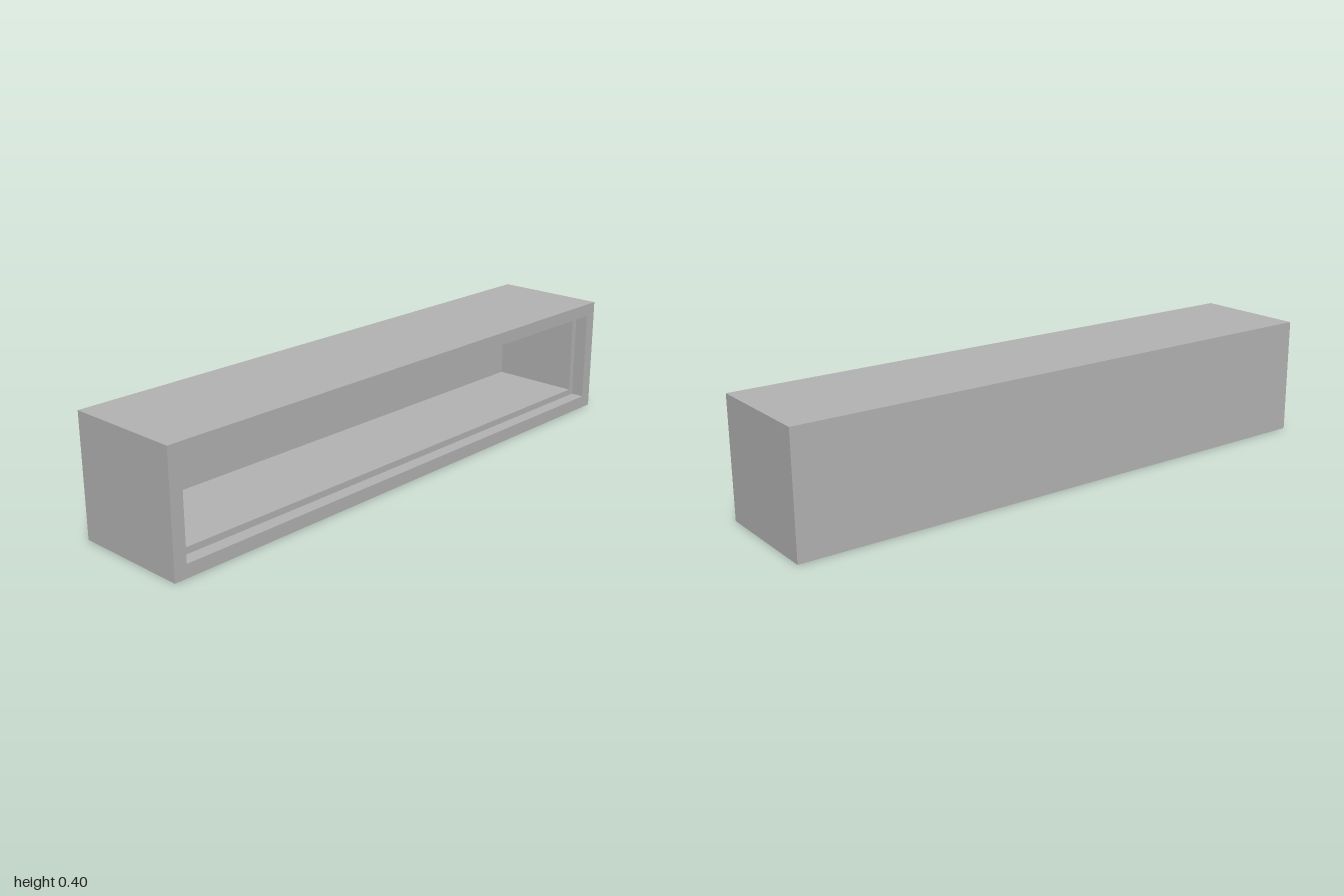
import * as THREE from 'three';

const WIDTH = 2, HEIGHT = 0.404, DEPTH = 0.402;

// Rectangle outline around the middle of the front, inset from the outer edge
function outline(path, insetX, insetY) {
  const x = WIDTH / 2 - insetX, y = HEIGHT / 2 - insetY;
  path.moveTo(-x, -y);
  path.lineTo(x, -y);
  path.lineTo(x, y);
  path.lineTo(-x, y);
  path.closePath();
  return path;
}

// Rectangular ring running from zBack to zFront
function ring(name, insetX, insetY, zBack, zFront, material) {
  const shape = outline(new THREE.Shape(), 0, 0);
  shape.holes.push(outline(new THREE.Path(), insetX, insetY));
  const geometry = new THREE.ExtrudeGeometry(shape, { depth: zFront - zBack, bevelEnabled: false });
  geometry.translate(0, HEIGHT / 2, zBack);
  const mesh = new THREE.Mesh(geometry, material);
  mesh.name = name;
  return mesh;
}

export function createModel() {
  const grey = new THREE.MeshStandardMaterial({ color: 0xb3b3b3 });
  grey.name = 'grey';

  const front = DEPTH / 2, back = -DEPTH / 2;
  const step = front - 0.046;      // where the front recess narrows
  const floor = back + 0.036;      // rear of the cavity

  const group = new THREE.Group();
  group.name = 'openFrontedBox';

  // Front rim with the wider opening, then the thicker casing walls
  group.add(ring('frontRim', 0.044, 0.044, step, front, grey));
  group.add(ring('casing', 0.067, 0.066, floor, step, grey));

  // Closed rear
  const panel = new THREE.Mesh(new THREE.BoxGeometry(WIDTH, HEIGHT, floor - back), grey);
  panel.position.set(0, HEIGHT / 2, (floor + back) / 2);
  panel.name = 'backPanel';
  group.add(panel);

  return group;
}
